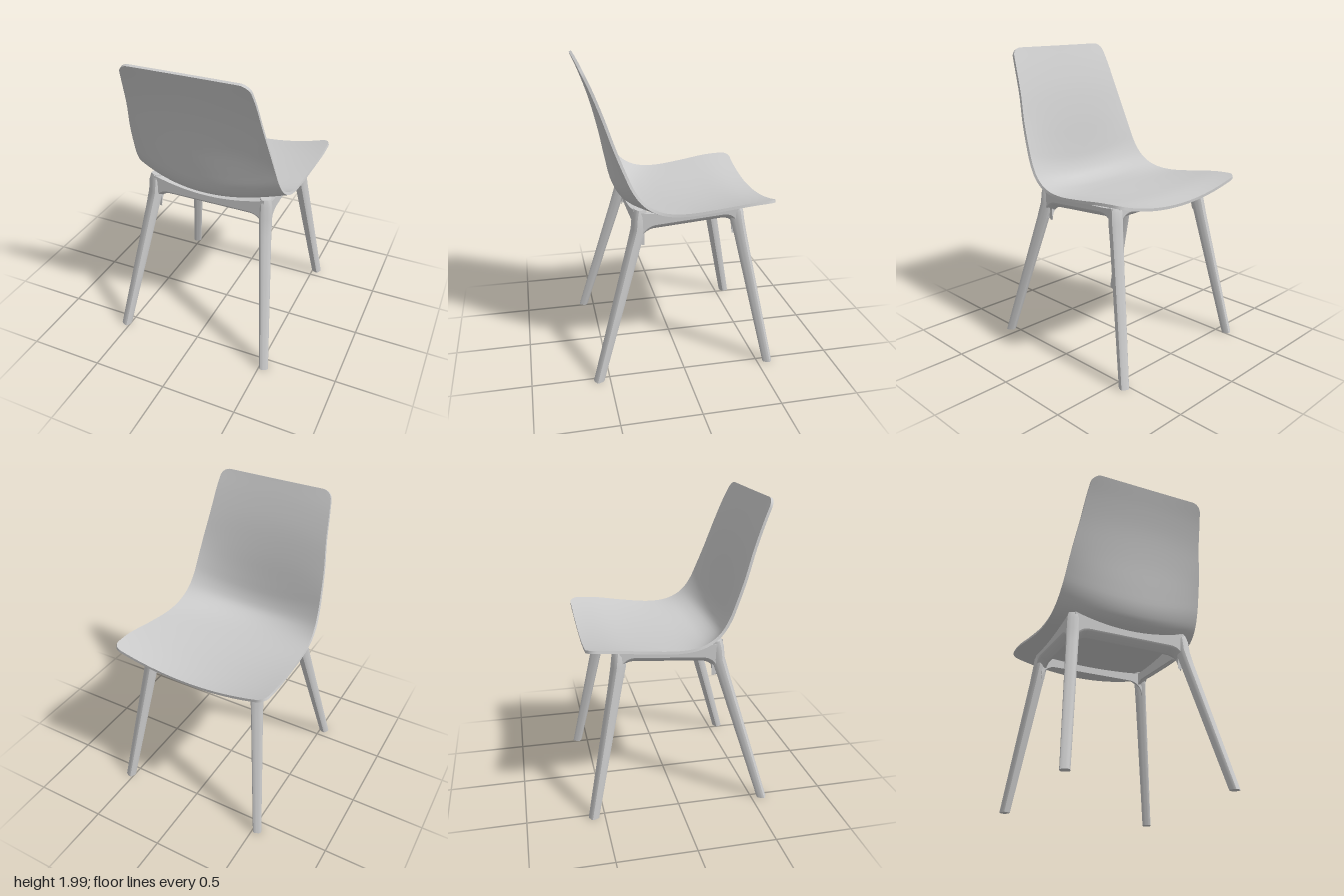
import * as THREE from 'three';
import { toCreasedNormals } from 'three/addons/utils/BufferGeometryUtils.js';

const V = (x, y, z) => new THREE.Vector3(x, y, z);
const material = new THREE.MeshStandardMaterial({ color: 0xcccccc, roughness: 0.7 });

// Skin a list of equal-length rings, close both ends, face outwards
function loft(name, rings, crease = 0.7) {
  const n = rings[0].length;
  const last = (rings.length - 1) * n;
  const pts = rings.flat();
  const tris = [];
  for (let r = 0; r < rings.length - 1; r++) {
    for (let i = 0; i < n; i++) {
      const a = r * n + i, b = r * n + (i + 1) % n;
      tris.push([a, b, b + n], [a, b + n, a + n]);
    }
  }
  for (let i = 0; i < n / 2 - 1; i++) {
    const j = n - 1 - i;
    tris.push([i, j, j - 1], [i, j - 1, i + 1]);
    tris.push([last + i, last + j - 1, last + j], [last + i, last + i + 1, last + j - 1]);
  }
  let volume = 0;
  for (const [a, b, c] of tris) volume += pts[a].dot(pts[b].clone().cross(pts[c]));
  const index = tris.flatMap(([a, b, c]) => (volume < 0 ? [a, c, b] : [a, b, c]));
  const geo = new THREE.BufferGeometry().setFromPoints(pts);
  geo.setIndex(index);
  const mesh = new THREE.Mesh(toCreasedNormals(geo, crease), material);
  mesh.name = name;
  return mesh;
}

// One-piece seat and back: a centre line and a side edge joined by parabolas
function makeShell() {
  // centre z, centre y, edge x, edge z, edge y
  const rows = [
    [-0.57, 1.07, 0.55, -0.58, 1.16], [-0.4, 1.078, 0.555, -0.4, 1.148],
    [-0.2, 1.07, 0.54, -0.2, 1.12], [0, 1.063, 0.525, 0, 1.1],
    [0.14, 1.06, 0.517, 0.12, 1.11], [0.25, 1.068, 0.51, 0.2, 1.14],
    [0.335, 1.105, 0.502, 0.265, 1.19], [0.38, 1.18, 0.492, 0.32, 1.27],
    [0.408, 1.3, 0.482, 0.363, 1.37], [0.445, 1.5, 0.465, 0.42, 1.52],
    [0.493, 1.7, 0.438, 0.48, 1.7], [0.542, 1.85, 0.42, 0.54, 1.86],
    [0.595, 1.99, 0.4, 0.597, 1.99],
  ];
  const centre = new THREE.CatmullRomCurve3(rows.map(r => V(0, r[1], r[0])));
  const edge = new THREE.CatmullRomCurve3(rows.map(r => V(r[2], r[4], r[3])));
  const surface = (t, v) => {
    const c = centre.getPoint(t), e = edge.getPoint(t);
    const p = c.clone().lerp(e, v * v);
    p.x = e.x * v;
    return p;
  };
  const normal = (t, v) => {
    const t0 = Math.max(0, t - 0.004), t1 = Math.min(1, t + 0.004);
    const along = surface(t1, v).sub(surface(t0, v));
    const across = surface(t, v + 0.01).sub(surface(t, v - 0.01));
    return along.cross(across).normalize();
  };
  const first = centre.getPoint(0), end = centre.getPoint(1);
  const R = 64, C = 28, radius = 0.06, half = 0.009;
  const rings = [];
  for (let r = 0; r <= R; r++) {
    const t = (1 - Math.cos(Math.PI * r / R)) / 2;
    const c = centre.getPoint(t);
    // rounded corners at both ends
    const d = Math.min(1, Math.min(c.distanceTo(first), c.distanceTo(end)) / radius);
    const inset = radius * (1 - Math.sqrt(1 - (1 - d) ** 2));
    const width = 1 - inset / edge.getPoint(t).x;
    const top = [], under = [];
    for (let i = 0; i <= C; i++) {
      const v = width * (i / C * 2 - 1);
      const p = surface(t, v), n = normal(t, v).multiplyScalar(half);
      top.push(p.clone().add(n));
      under.unshift(p.sub(n));
    }
    rings.push([...top, ...under]);
  }
  return loft('seatShell', rings, 0.8);
}

// Tapered leg with a rounded-square section turned towards the splay
function makeLeg(name, sx, sz, stations) {
  const rings = stations.map(([x, y, z, h]) => {
    const ring = [];
    for (let i = 0; i < 20; i++) {
      const a = (i + 0.5) / 20 * Math.PI * 2;
      const c = Math.cos(a), s = Math.sin(a);
      const k = h / (Math.abs(c) ** 4 + Math.abs(s) ** 4) ** 0.25;
      const turn = 0.45;
      const px = k * (c * Math.cos(turn) + s * Math.sin(turn));
      const pz = k * (s * Math.cos(turn) - c * Math.sin(turn));
      ring.push(V(sx * (x + px), y, sz * (z + pz)));
    }
    return ring;
  });
  return loft(name, rings);
}

// Rail between two legs: sloping underside, fillets at both ends
// a, b: {p: [x, z], top, low}; inward: unit direction towards the chair's middle
function makeRail(name, a, b, inward, sag) {
  const rings = [], N = 32, depth = 0.034, fillet = 0.1;
  const length = Math.hypot(b.p[0] - a.p[0], b.p[1] - a.p[1]);
  const mix = THREE.MathUtils.lerp;
  for (let i = 0; i <= N; i++) {
    const t = (1 - Math.cos(Math.PI * i / N)) / 2;
    const x = mix(a.p[0], b.p[0], t), z = mix(a.p[1], b.p[1], t);
    const top = mix(a.top, b.top, t) - sag * (1 - (2 * t - 1) ** 2);
    const d = Math.min(1, Math.min(t, 1 - t) * length / fillet);
    const low = mix(a.low, b.low, t) - fillet * (1 - Math.sqrt(1 - (1 - d) ** 2));
    const at = (k, y) => V(x + inward[0] * k, y, z + inward[1] * k);
    rings.push([
      at(-depth, top), at(depth, top - 0.01),
      at(depth, low - 0.03), at(depth * 0.6, low - 0.03), at(-depth * 0.8, low), at(-depth, low + 0.012),
    ]);
  }
  return loft(name, rings, 0.5);
}

export function createModel() {
  const group = new THREE.Group();
  group.name = 'chair';
  group.add(makeShell());

  // Underframe; the backrest is on the +z side
  const frame = new THREE.Group();
  frame.name = 'underframe';
  const backLeg = [[0.528, 0, 0.572, 0.029], [0.41, 0.88, 0.31, 0.038],
    [0.396, 0.99, 0.277, 0.041], [0.392, 1.07, 0.27, 0.04], [0.388, 1.115, 0.262, 0.034]];
  const frontLeg = [[0.528, 0, 0.572, 0.029], [0.41, 0.88, 0.392, 0.038],
    [0.396, 0.99, 0.37, 0.041], [0.39, 1.06, 0.362, 0.04], [0.387, 1.085, 0.358, 0.034]];
  for (const s of [1, -1]) {
    const side = s > 0 ? 'Left' : 'Right';
    frame.add(makeLeg('backrestLeg' + side, s, 1, backLeg));
    frame.add(makeLeg('seatEdgeLeg' + side, s, -1, frontLeg));
    frame.add(makeRail('sideRail' + side,
      { p: [s * 0.395, 0.27], top: 1.1, low: 0.995 },
      { p: [s * 0.395, -0.365], top: 1.085, low: 1.045 }, [-s, 0], 0.02));
  }
  frame.add(makeRail('backRail', { p: [-0.392, 0.272], top: 1.115, low: 1 },
    { p: [0.392, 0.272], top: 1.115, low: 1 }, [0, -1], 0.06));
  frame.add(makeRail('frontRail', { p: [-0.392, -0.366], top: 1.085, low: 1.035 },
    { p: [0.392, -0.366], top: 1.085, low: 1.035 }, [0, 1], 0.022));
  group.add(frame);
  return group;
}
